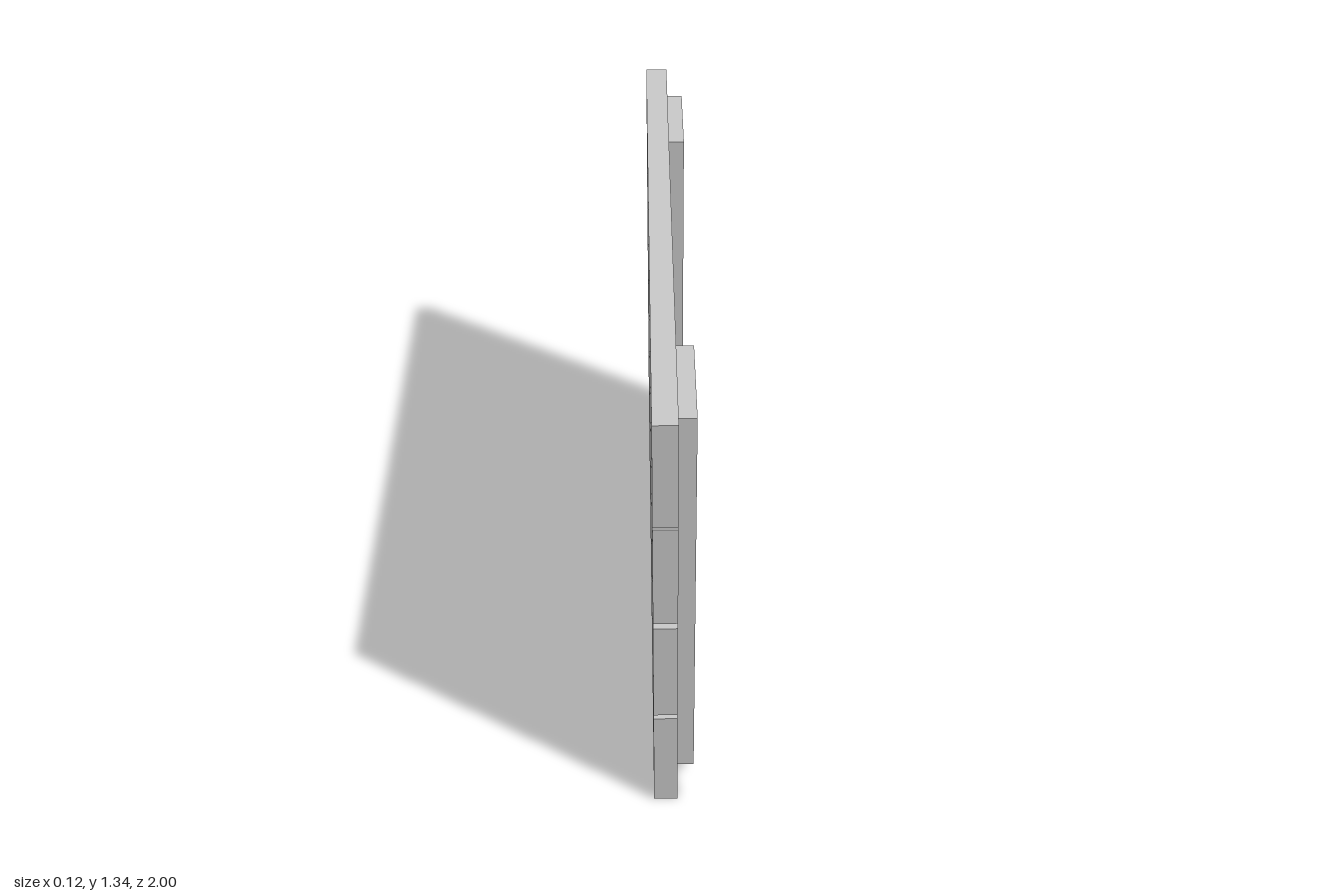
import * as THREE from 'three';

const material = new THREE.MeshStandardMaterial({ color: 0xcccccc, flatShading: true });

// Box given by its minimum and maximum on each axis
function board(name, [x0, x1], [y0, y1], [z0, z1]) {
  const mesh = new THREE.Mesh(new THREE.BoxGeometry(x1 - x0, y1 - y0, z1 - z0), material);
  mesh.position.set((x0 + x1) / 2, (y0 + y1) / 2, (z0 + z1) / 2);
  mesh.name = name;
  return mesh;
}

export function createModel() {
  const model = new THREE.Group();
  model.name = 'plankPanel';

  // Four horizontal planks with slightly uneven gaps
  const plankHeight = 0.324;
  [0, 0.338, 0.68, 1.011].forEach((y, i) => {
    model.add(board(`plank${i + 1}`, [-0.059, 0.008], [y, y + plankHeight], [-1, 1]));
  });

  // Two upright battens, sunk a little into the planks
  const battenX = [-0.01, 0.057], battenY = [0.038, 1.286];
  model.add(board('frontBatten', battenX, battenY, [0.579, 0.904]));
  model.add(board('backBatten', battenX, battenY, [-0.9, -0.575]));

  return model;
}
